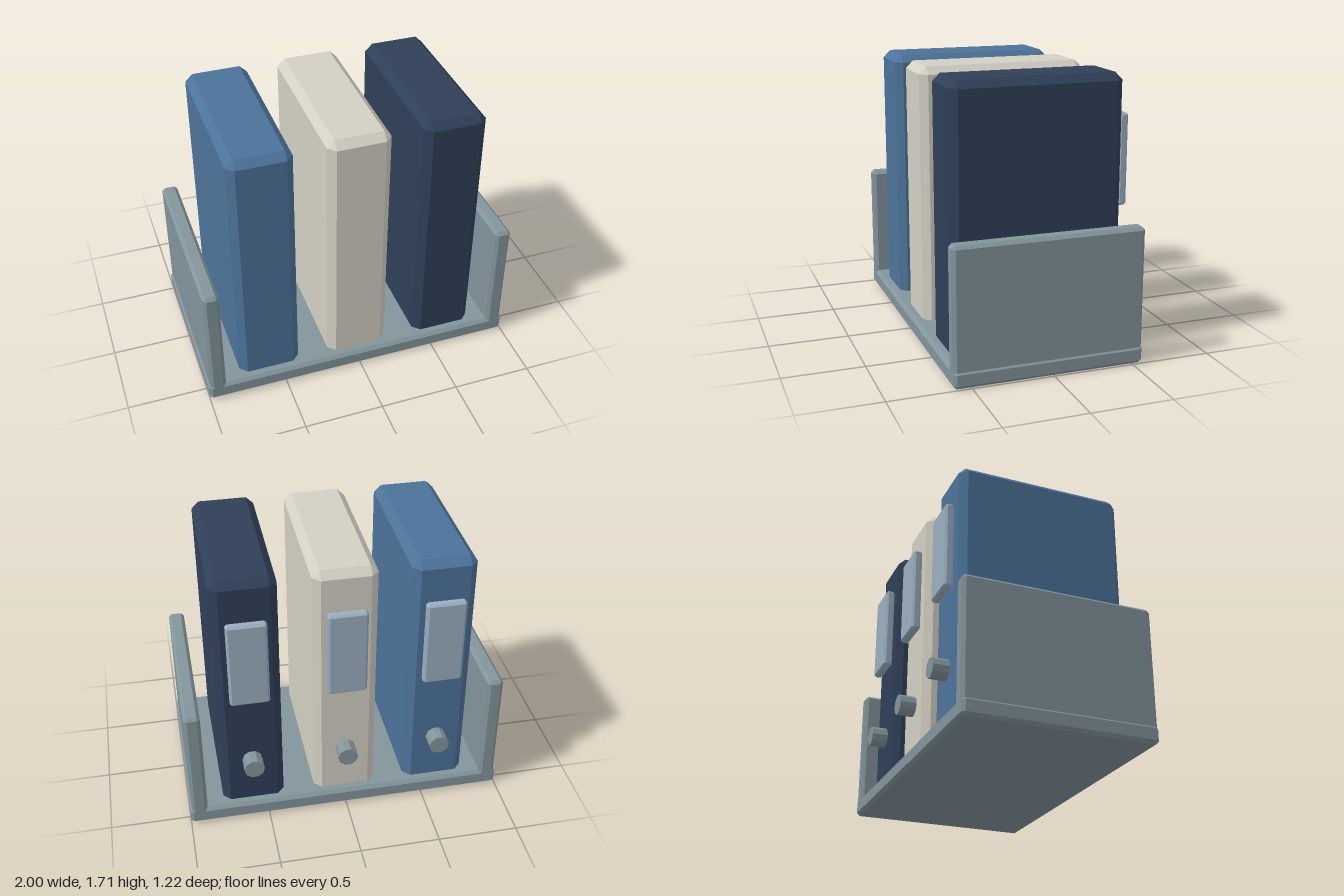
import * as THREE from 'three';
import { ConvexGeometry } from 'three/addons/geometries/ConvexGeometry.js';

const paint = (color) => new THREE.MeshStandardMaterial({ color });

// Box with flat chamfers on every edge, given by its min and max corners
function chamferBox(name, min, max, c, material) {
  const centre = min.map((v, i) => (v + max[i]) / 2);
  const half = min.map((v, i) => (max[i] - v) / 2);
  const points = [];
  for (const sx of [-1, 1]) for (const sy of [-1, 1]) for (const sz of [-1, 1]) {
    const s = [sx, sy, sz];
    for (let axis = 0; axis < 3; axis++) {
      // each corner gives three points, one on each adjoining face
      points.push(new THREE.Vector3(...s.map((k, i) => k * (half[i] - (i === axis ? 0 : c)))));
    }
  }
  const mesh = new THREE.Mesh(new ConvexGeometry(points), material);
  mesh.position.set(...centre);
  mesh.name = name;
  return mesh;
}

export function createModel() {
  const model = new THREE.Group();
  model.name = 'binderRack';
  const rack = paint(0x82949c);
  const labelPaint = paint(0x9aaebf);
  const knobPaint = paint(0x82949c);

  // Rack: base tray and two side walls
  model.add(chamferBox('base', [-1, 0, -0.565], [1, 0.11, 0.607], 0.02, rack));
  for (const [name, x] of [['leftWall', 0.94], ['rightWall', -0.94]]) {
    model.add(chamferBox(name, [x - 0.05, 0.07, -0.565], [x + 0.05, 0.84, 0.607], 0.02, rack));
  }

  // Binders, each with a label plate and a finger knob on the back
  const binders = [
    ['rightBinder', -0.587, 0x4c739a],
    ['middleBinder', 0, 0xd2cfc3],
    ['leftBinder', 0.587, 0x2f3f58],
  ];
  for (const [name, x, color] of binders) {
    const binder = new THREE.Group();
    binder.name = name;
    binder.position.x = x;
    binder.add(chamferBox('binderBody', [-0.195, 0.06, -0.507], [0.195, 1.71, 0.548], 0.046, paint(color)));
    binder.add(chamferBox('label', [-0.12, 0.9, -0.572], [0.12, 1.46, -0.516], 0.013, labelPaint));

    const knob = new THREE.Mesh(
      new THREE.CylinderGeometry(0.063, 0.063, 0.118, 10, 1, false, Math.PI / 2).toNonIndexed(), knobPaint);
    knob.geometry.computeVertexNormals();
    knob.rotation.x = Math.PI / 2;
    knob.position.set(0, 0.425, -0.549);
    knob.name = 'knob';
    binder.add(knob);
    model.add(binder);
  }
  return model;
}
